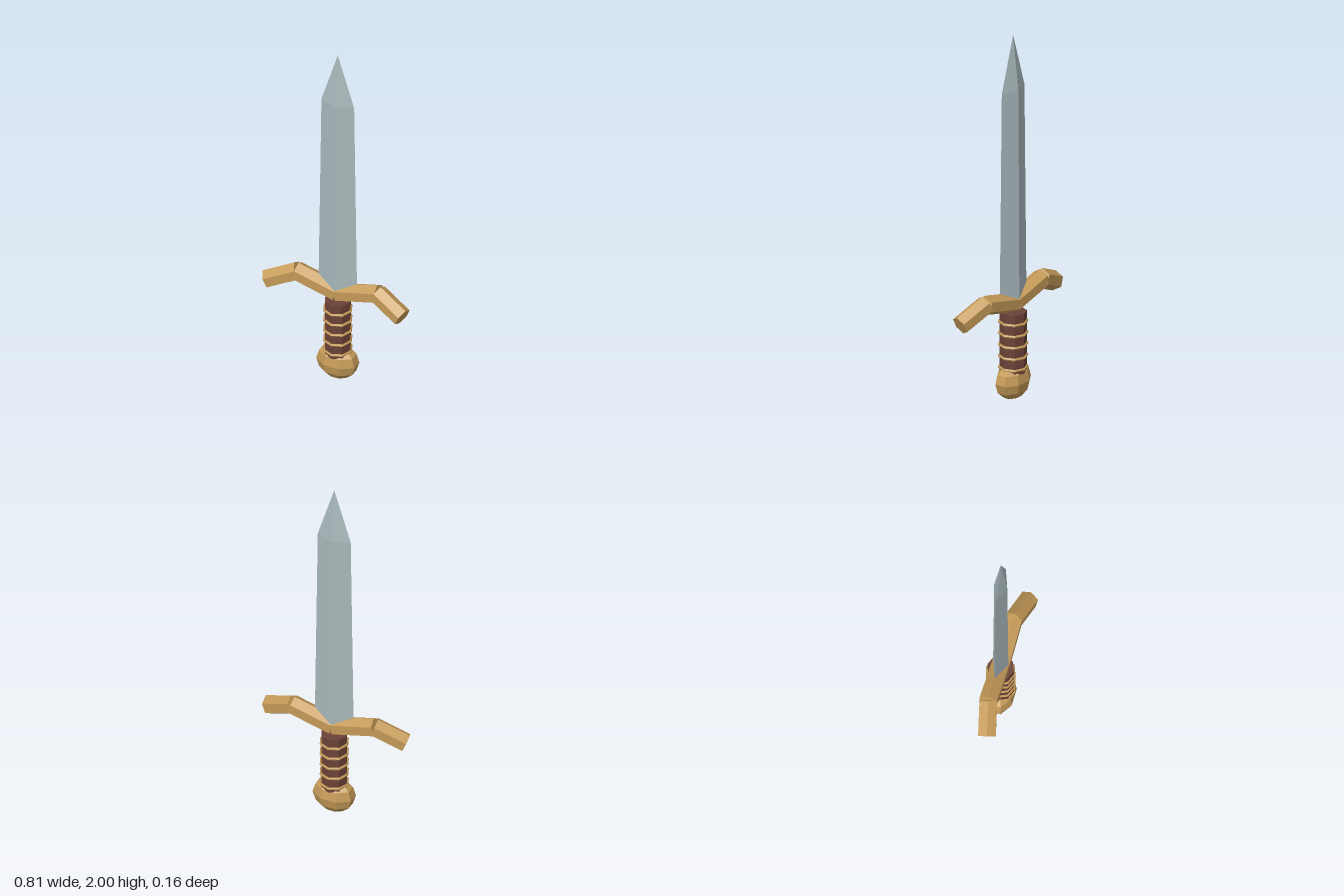
import * as THREE from 'three';

const Z = -0.004; // depth of the sword's main axis
const mat = (color) => new THREE.MeshStandardMaterial({ color, flatShading: true });

function add(parent, name, geometry, material) {
  const mesh = new THREE.Mesh(geometry, material);
  mesh.name = name;
  parent.add(mesh);
  return mesh;
}

// Hexagonal bar between two points, with one ridge kept uppermost
function hexBar(a, b, radius) {
  const dir = b.clone().sub(a);
  const geo = new THREE.CylinderGeometry(radius, radius, dir.length(), 6);
  dir.normalize();
  const up = new THREE.Vector3(0, 1, 0).addScaledVector(dir, -dir.y).normalize();
  const side = new THREE.Vector3().crossVectors(dir, up);
  const m = new THREE.Matrix4().makeBasis(side, dir, up);
  m.setPosition(a.clone().add(b).multiplyScalar(0.5));
  return geo.applyMatrix4(m);
}

export function createModel() {
  const sword = new THREE.Group();
  sword.name = 'sword';
  const steel = mat(0xa9b9bc), gold = mat(0xc49a58), leather = mat(0x6b4238);

  // Blade: four-sided diamond section tapering to the point
  const profile = [[0, 0.52], [0.11, 0.52], [0.093, 1.7], [0, 2]];
  const blade = add(sword, 'blade',
    new THREE.LatheGeometry(profile.map(([x, y]) => new THREE.Vector2(x, y)), 4), steel);
  blade.scale.z = 0.37;
  blade.position.z = Z;

  // Crossguard: two bars per side, rising and then drooping forward
  const guard = new THREE.Group();
  guard.name = 'crossguard';
  sword.add(guard);
  for (const [s, label] of [[1, 'left'], [-1, 'right']]) {
    const centre = new THREE.Vector3(0, 0.525, Z);
    const bend = new THREE.Vector3(s * 0.235, 0.585, Z);
    const start = new THREE.Vector3(s * 0.225, 0.587, Z);
    const tip = new THREE.Vector3(s * 0.386, 0.512, 0.035);
    add(guard, label + 'InnerArm', hexBar(centre, bend, 0.052), gold);
    add(guard, label + 'OuterArm', hexBar(start, tip, 0.052), gold);
  }

  // Grip with its binding rings
  const grip = add(sword, 'grip', new THREE.CylinderGeometry(0.07, 0.07, 0.33, 8), leather);
  grip.position.set(0, 0.315, Z);
  for (let i = 0; i < 5; i++) {
    const ring = add(sword, 'gripRing', new THREE.TorusGeometry(0.071, 0.008, 6, 8), gold);
    ring.rotation.x = Math.PI / 2;
    ring.position.set(0, 0.175 + i * 0.0625, Z);
  }

  // Pommel: faceted ball flattened front to back
  const ball = new THREE.SphereGeometry(0.1, 8, 6).rotateY(Math.PI / 8).scale(1.17, 1, 0.78);
  add(sword, 'pommel', ball, gold).position.set(0, 0.1, Z);

  return sword;
}
